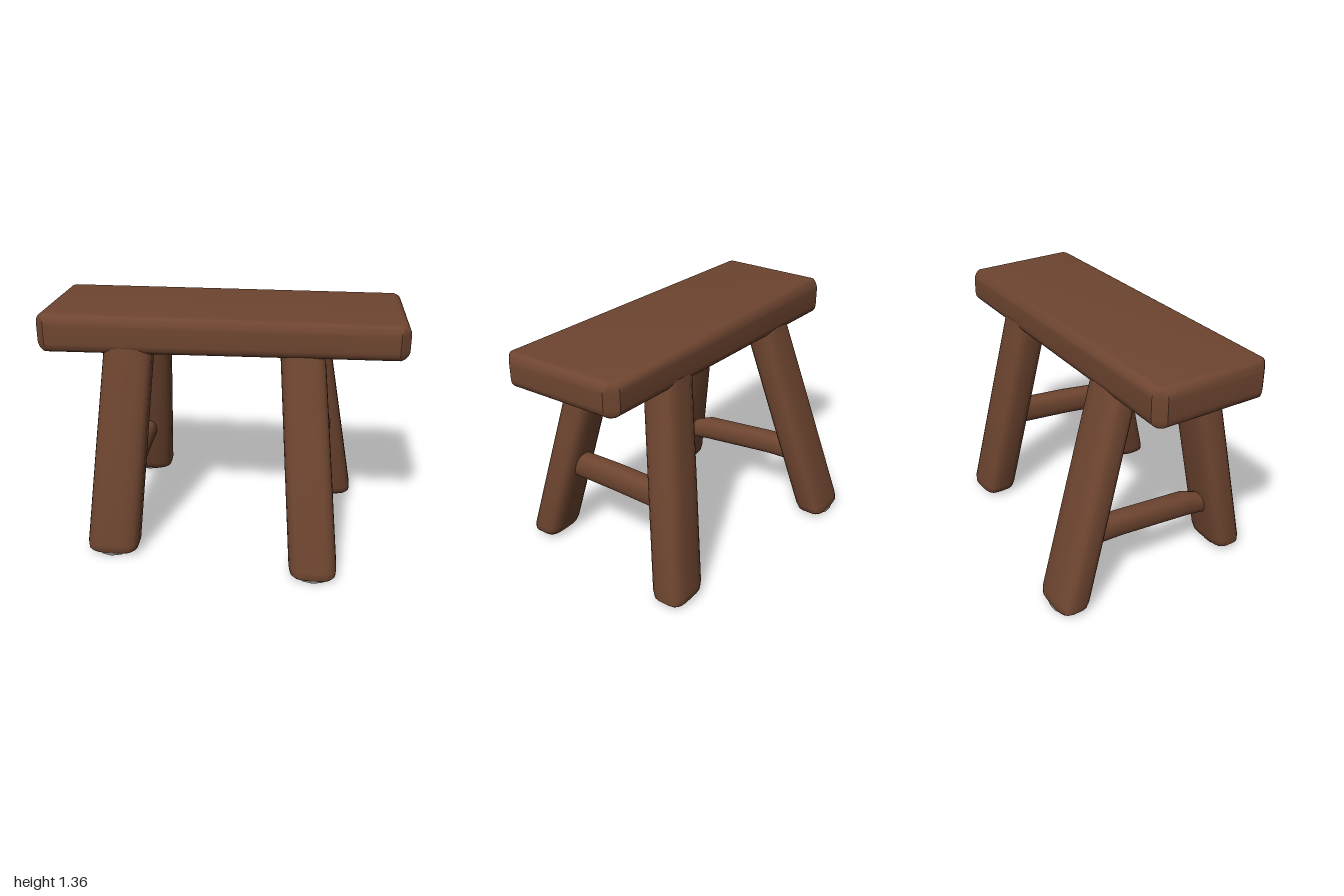
import * as THREE from 'three';
import { toCreasedNormals } from 'three/addons/utils/BufferGeometryUtils.js';
import { RoundedBoxGeometry } from 'three/addons/geometries/RoundedBoxGeometry.js';

const SIDES = 20;
const X = [1, 0, 0], Y = [0, 1, 0], Z = [0, 0, 1];

// Closed loft through rounded-square rings { c: centre, a, b: half sizes along u and v }
function loft(rings, u, v, power) {
  const pos = [], index = [];
  const soft = (t) => Math.sign(t) * Math.abs(t) ** (2 / power);
  for (const { c, a, b } of rings) {
    for (let j = 0; j < SIDES; j++) {
      const t = ((j + 0.5) / SIDES) * Math.PI * 2;
      const p = a * soft(Math.cos(t)), q = b * soft(Math.sin(t));
      for (let k = 0; k < 3; k++) pos.push(c[k] + u[k] * p + v[k] * q);
    }
  }
  const last = rings.length - 1, start = rings.length * SIDES;
  pos.push(...rings[0].c, ...rings[last].c);
  for (let j = 0; j < SIDES; j++) {
    const n = (j + 1) % SIDES;
    for (let i = 0; i < last; i++) {
      const r = i * SIDES, s = r + SIDES;
      index.push(r + j, r + n, s + n, r + j, s + n, s + j);
    }
    index.push(start, n, j, start + 1, last * SIDES + j, last * SIDES + n);
  }
  const g = new THREE.BufferGeometry();
  g.setAttribute('position', new THREE.Float32BufferAttribute(pos, 3));
  g.setIndex(index);
  return toCreasedNormals(g, 0.75);
}

export function createModel() {
  const group = new THREE.Group();
  const wood = new THREE.MeshStandardMaterial({ color: 0x6e4530 });
  wood.name = 'brown wood';
  const pad = new THREE.MeshStandardMaterial({ color: 0x8e8e8b });
  pad.name = 'grey pad';
  const add = (name, geometry, material) => {
    const mesh = new THREE.Mesh(geometry, material);
    mesh.name = name;
    group.add(mesh);
    return mesh;
  };

  // Seat: a thick plank, a little skewed and thinner towards its left end
  const plank = new RoundedBoxGeometry(1.98, 0.2, 0.71, 5, 0.055);
  const p = plank.attributes.position;
  for (let i = 0; i < p.count; i++) {
    const x = p.getX(i), y = p.getY(i), z = p.getZ(i);
    const corner = Math.max(0, Math.abs(x) - 0.91) * Math.max(0, Math.abs(z) - 0.27) * 5;
    p.setXYZ(
      i,
      x + Math.sign(x) * (z * 0.02 - corner),
      1.262 + y * (1 - x * 0.07) + x * 0.014,
      0.045 + z * (1 + x * 0.015) + x * 0.017 - Math.sign(z) * corner,
    );
  }
  add('seat', toCreasedNormals(plank, 0.6), wood);

  // Splayed legs: foot and top centres in x and z, half depth, half width
  const legs = [
    ['frontLeftLeg', [0.55, 0.6], [0.44, 0.285], 0.095, 0.13],
    ['frontRightLeg', [-0.59, 0.465], [-0.485, 0.285], 0.09, 0.147],
    ['backLeftLeg', [0.635, -0.395], [0.445, -0.2], 0.1, 0.133],
    ['backRightLeg', [-0.59, -0.605], [-0.485, -0.21], 0.09, 0.147],
  ];
  for (const [name, foot, top, depth, width] of legs) {
    const ring = (y, size) => {
      const t = y / 1.2;
      return {
        c: [foot[0] + (top[0] - foot[0]) * t, y, foot[1] + (top[1] - foot[1]) * t],
        a: depth * size,
        b: width * size * (1 - 0.09 * t),
      };
    };
    const rings = [ring(0.02, 0.82), ring(0.035, 0.95), ring(0.07, 1), ring(0.6, 1), ring(1.22, 0.99)];
    add(name, loft(rings, Z, X, 3.4), wood);

    // Pad under the foot
    const disc = add(name + 'Pad', new THREE.CylinderGeometry(0.075, 0.07, 0.025, 9), pad);
    disc.position.set(foot[0], 0.0165, foot[1]);
    disc.scale.x = 1.2;
  }

  // Rails between the front and back leg of each side
  add('leftRail', loft([
    { c: [0.56, 0.555, -0.3], a: 0.06, b: 0.078 },
    { c: [0.53, 0.535, 0.1], a: 0.06, b: 0.078 },
    { c: [0.51, 0.515, 0.34], a: 0.06, b: 0.076 },
    { c: [0.51, 0.505, 0.45], a: 0.055, b: 0.068 },
  ], X, Y, 2.5), wood);
  add('rightRail', loft([
    { c: [-0.56, 0.38, -0.48], a: 0.06, b: 0.07 },
    { c: [-0.56, 0.37, -0.24], a: 0.06, b: 0.07 },
    { c: [-0.56, 0.322, 0.22], a: 0.06, b: 0.072 },
    { c: [-0.56, 0.283, 0.36], a: 0.055, b: 0.056 },
    { c: [-0.56, 0.275, 0.44], a: 0.05, b: 0.05 },
  ], X, Y, 2.5), wood);

  return group;
}
